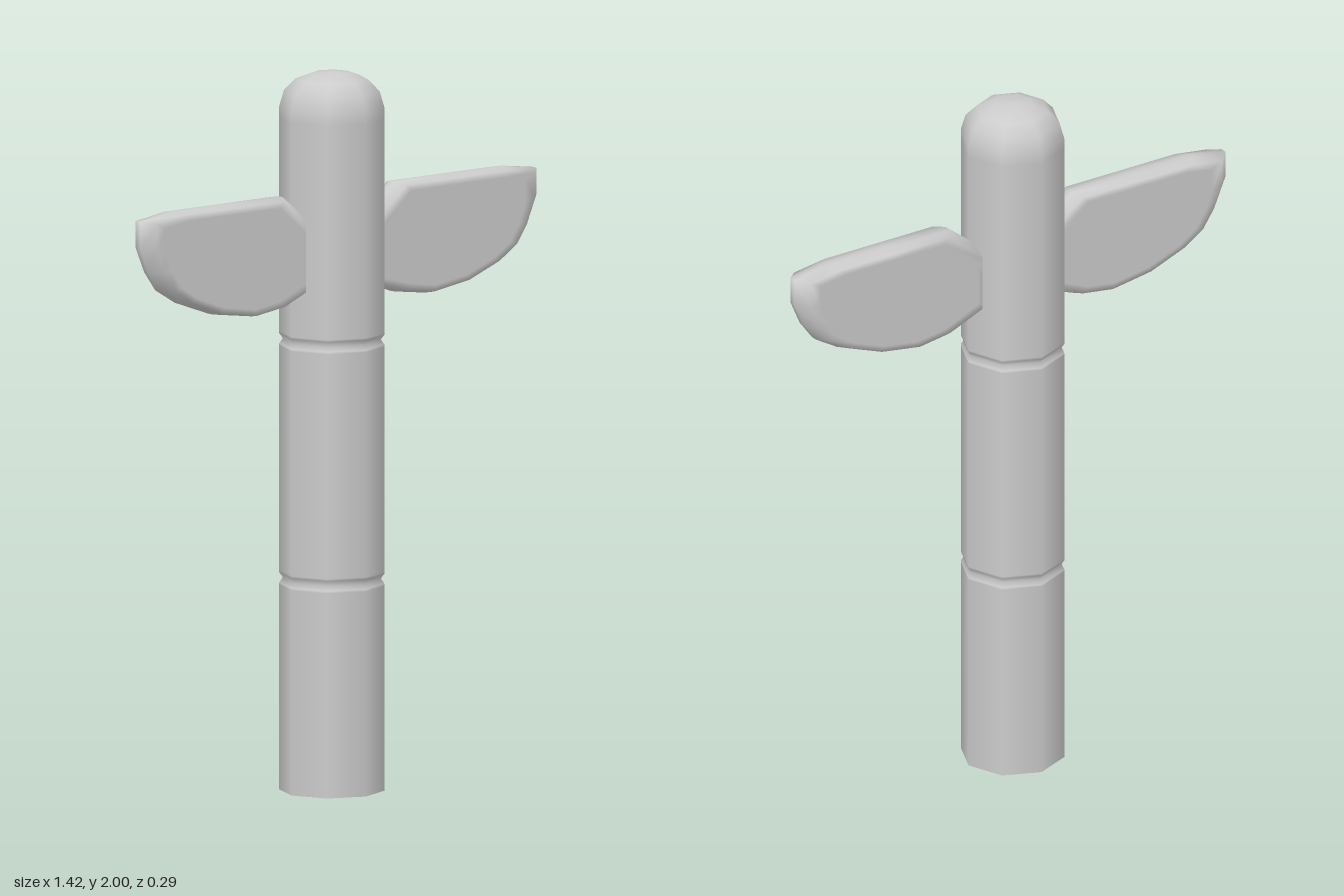
import * as THREE from 'three';

const material = new THREE.MeshStandardMaterial({ color: 0xcccccc, side: THREE.DoubleSide });

// Eight-sided hollow pole with two carved grooves and a rounded top
function createPole() {
  const r = 0.145;
  const profile = [[r, 0]];
  for (const y of [0.59, 1.255]) {
    profile.push([r, y - 0.02], [r, y - 0.014], [r - 0.01, y], [r, y + 0.014], [r, y + 0.02]);
  }
  profile.push([r, 1.87], [r, 1.9], [0.132, 1.945], [0.1, 1.978], [0.055, 1.995], [0, 2]);
  const points = profile.map(([x, y]) => new THREE.Vector2(x, y));
  const pole = new THREE.Mesh(new THREE.LatheGeometry(points, 8), material);
  pole.name = 'pole';
  pole.position.x = -0.015;
  return pole;
}

// Wing outline, clockwise from the inner end of its straight top edge
const outline = [
  [0.2, 1.67], [0.4, 1.67], [0.6, 1.67], [0.71, 1.655], [0.71, 1.58], [0.68, 1.51], [0.64, 1.455],
  [0.57, 1.413], [0.45, 1.37], [0.31, 1.35], [0.2, 1.365], [0.06, 1.42], [0.06, 1.56],
];

// Cross-sections through the thickness: z, scale in x, scale in y
const sections = [
  [-0.042, 0, 0], [-0.042, 0.8, 0.85], [-0.042, 0.9, 0.96], [-0.01, 1, 1],
  [0.01, 1, 1], [0.042, 0.9, 0.96], [0.042, 0.8, 0.85], [0.042, 0, 0],
];

function createWingGeometry() {
  const cx = 0.385, cy = 1.51, n = outline.length;
  const positions = [], index = [];
  for (const [z, sx, sy] of sections) {
    for (const [x, y] of outline) positions.push(cx + (x - cx) * sx, cy + (y - cy) * sy, z);
  }
  for (let k = 0; k < sections.length - 1; k++) {
    for (let i = 0; i < n; i++) {
      const a = k * n + i, b = k * n + (i + 1) % n;
      index.push(a, a + n, b, b, a + n, b + n);
    }
  }
  const geometry = new THREE.BufferGeometry();
  geometry.setAttribute('position', new THREE.Float32BufferAttribute(positions, 3));
  geometry.setIndex(index);
  geometry.computeVertexNormals();
  return geometry;
}

export function createModel() {
  const model = new THREE.Group();
  model.name = 'totemPole';
  model.add(createPole());

  // Mirrored pair of wings
  const wingGeometry = createWingGeometry();
  for (const side of [1, -1]) {
    const wing = new THREE.Mesh(wingGeometry, material);
    wing.name = side > 0 ? 'leftWing' : 'rightWing';
    wing.scale.x = side;
    model.add(wing);
  }
  return model;
}
